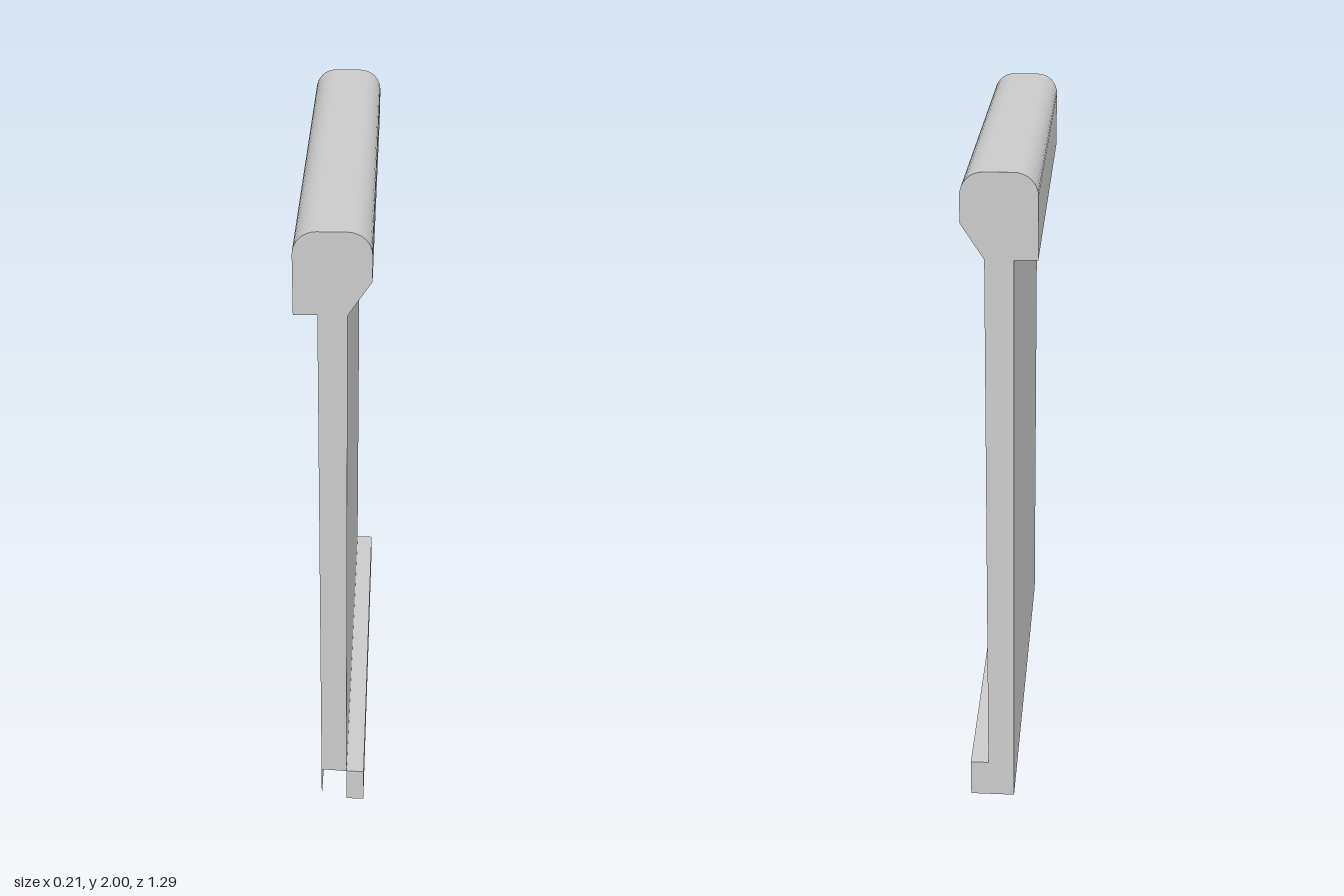
import * as THREE from 'three';
import { toCreasedNormals } from 'three/addons/utils/BufferGeometryUtils.js';

const HALF = 0.645;   // half length along z
const T = 0.04;       // half thickness of the panel
const HEAD_Y = 1.76;  // underside of the head
const FOOT_Y = 0.12;  // top of the foot ledge
const R = 0.065;      // rounding of the head

const material = new THREE.MeshStandardMaterial({ color: 0xcccccc, side: THREE.DoubleSide });
const pts = (list) => list.map(([x, y]) => new THREE.Vector2(x, y));

// Sweeps an open clockwise outline along z, leaving the ends open
function sweep(name, outline) {
  const n = outline.length;
  const geo = new THREE.PlaneGeometry(1, 1, n - 1, 1);
  const pos = geo.attributes.position;
  for (let i = 0; i < pos.count; i++) {
    const p = outline[i % n];
    pos.setXYZ(i, p.x, p.y, i < n ? -HALF : HALF);
  }
  const mesh = new THREE.Mesh(toCreasedNormals(geo, 0.5), material);
  mesh.name = name;
  return mesh;
}

// Flat end plate; side is +1 for the front and -1 for the back
function cap(name, outline, side) {
  const mesh = new THREE.Mesh(new THREE.ShapeGeometry(new THREE.Shape(outline)), material);
  mesh.name = name;
  mesh.position.z = side * HALF;
  mesh.scale.z = side;
  return mesh;
}

// Quarter round from angle a0, turning clockwise
function corner(cx, cy, a0) {
  return Array.from({ length: 9 }, (_, i) => {
    const a = a0 - (i / 8) * Math.PI / 2;
    return [cx + R * Math.cos(a), cy + R * Math.sin(a)];
  });
}

function part(name, ...meshes) {
  const group = new THREE.Group();
  group.name = name;
  group.add(...meshes);
  return group;
}

export function createModel() {
  const model = new THREE.Group();
  model.name = 'railPanel';

  // Rounded head: square lip on one side, chamfer on the other
  const W = 0.105;
  const head = pts([
    [-T, HEAD_Y], [-W, HEAD_Y],
    ...corner(-W + R, 2 - R, Math.PI),
    ...corner(W - R, 2 - R, Math.PI / 2),
    [W, 1.86], [T, HEAD_Y],
  ]);
  model.add(part('head',
    sweep('headSurface', head), cap('headFront', head, 1), cap('headBack', head, -1)));

  // Tall thin panel, its outer wall running down to the ground
  const web = pts([[-T, 0.125], [-T, HEAD_Y], [T, HEAD_Y], [T, FOOT_Y]]);
  model.add(part('panel',
    sweep('leftless', pts([[-T, 0], [-T, HEAD_Y]])),
    sweep('ledgeSide', pts([[T, HEAD_Y], [T, FOOT_Y]])),
    cap('panelFront', web, 1), cap('panelBack', web, -1)));
  model.getObjectByName('leftless').name = 'plainSide';

  // Hollow foot: open underneath, with a slot at its front end
  const X = 0.095;
  model.add(part('foot',
    sweep('footLedge', pts([[T, FOOT_Y], [X, FOOT_Y], [X, 0]])),
    cap('footFront', pts([[T, 0], [T, FOOT_Y], [X, FOOT_Y], [X, 0]]), 1),
    cap('footBack', pts([[-T, 0], [-T, 0.125], [T, FOOT_Y], [X, FOOT_Y], [X, 0]]), -1)));

  return model;
}
